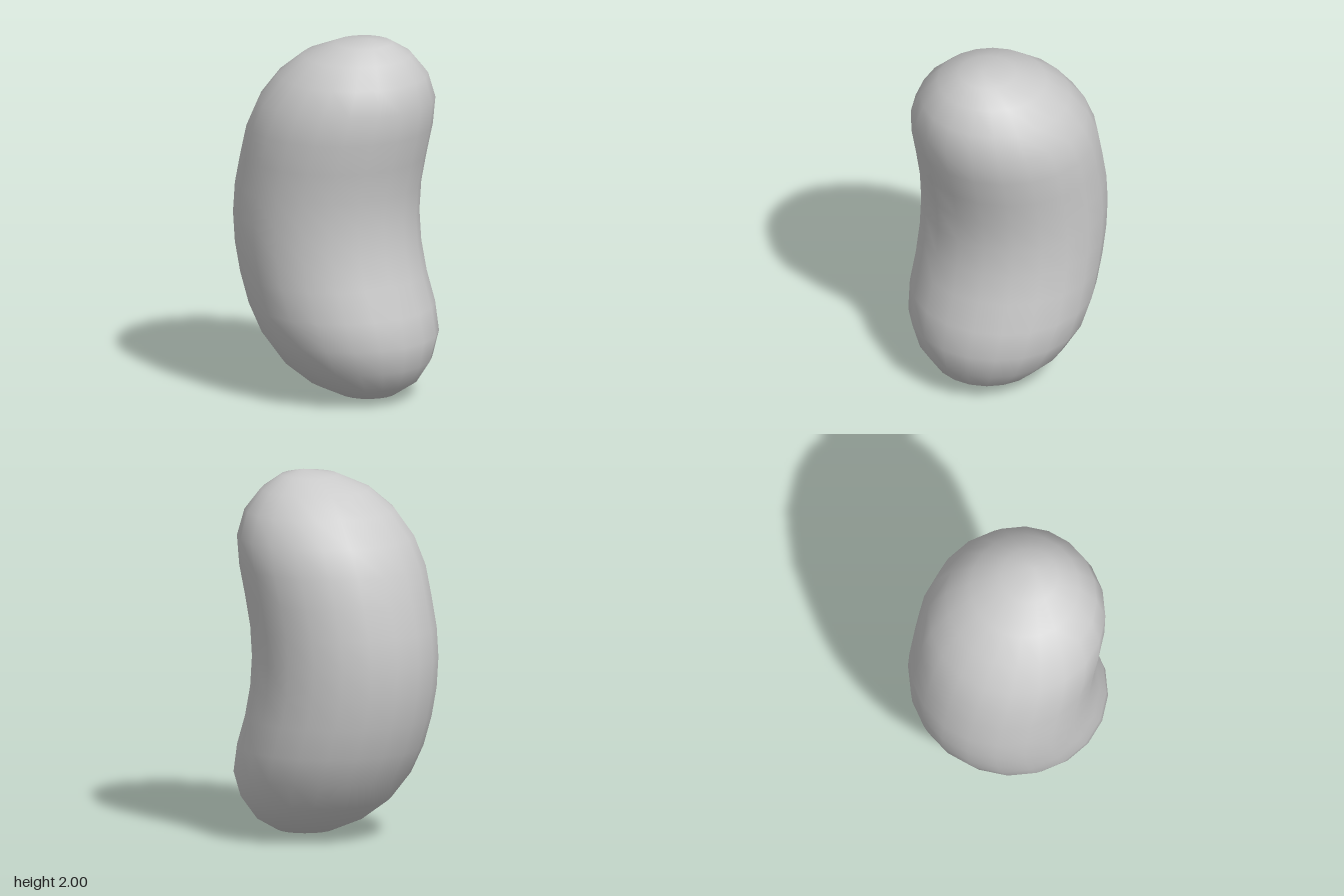
import * as THREE from 'three';
import { mergeVertices } from 'three/addons/utils/BufferGeometryUtils.js';

const RADIUS = 0.505, CAP_STEPS = 5, BODY_STEPS = 6, SIDES = 20;

// Sideways shift of each ring, from the bottom pole to the top pole
const BEND = [0.22, 0.206, 0.175, 0.132, 0.09, 0.035, -0.02, -0.055, -0.067,
  -0.055, -0.02, 0.02, 0.067, 0.106, 0.135, 0.177, 0.22];

// Half outline of an upright capsule, bottom to top
function capsuleProfile() {
  const low = RADIUS, high = 2 - RADIUS, points = [];
  for (let i = 0; i <= CAP_STEPS; i++) {
    const a = (i / CAP_STEPS) * Math.PI / 2;
    points.push(new THREE.Vector2(RADIUS * Math.sin(a), low - RADIUS * Math.cos(a)));
  }
  for (let i = 1; i < BODY_STEPS; i++) {
    points.push(new THREE.Vector2(RADIUS, low + (high - low) * i / BODY_STEPS));
  }
  for (let i = CAP_STEPS; i >= 0; i--) {
    const a = (i / CAP_STEPS) * Math.PI / 2;
    points.push(new THREE.Vector2(RADIUS * Math.sin(a), high + RADIUS * Math.cos(a)));
  }
  return points;
}

export function createModel() {
  const group = new THREE.Group();
  group.name = 'bean';

  // Capsule whose rings slide along x to form the kidney curve
  const profile = capsuleProfile();
  const lathe = new THREE.LatheGeometry(profile, SIDES);
  const pos = lathe.attributes.position;
  for (let i = 0; i < pos.count; i++) {
    pos.setX(i, pos.getX(i) + BEND[i % profile.length]);
  }

  // Weld the seam and poles so the shading is smooth all round
  lathe.deleteAttribute('uv');
  lathe.deleteAttribute('normal');
  const geometry = mergeVertices(lathe, 1e-4);
  geometry.computeVertexNormals();

  const body = new THREE.Mesh(geometry, new THREE.MeshStandardMaterial({ color: 0xcccccc }));
  body.name = 'beanBody';
  group.add(body);
  return group;
}
